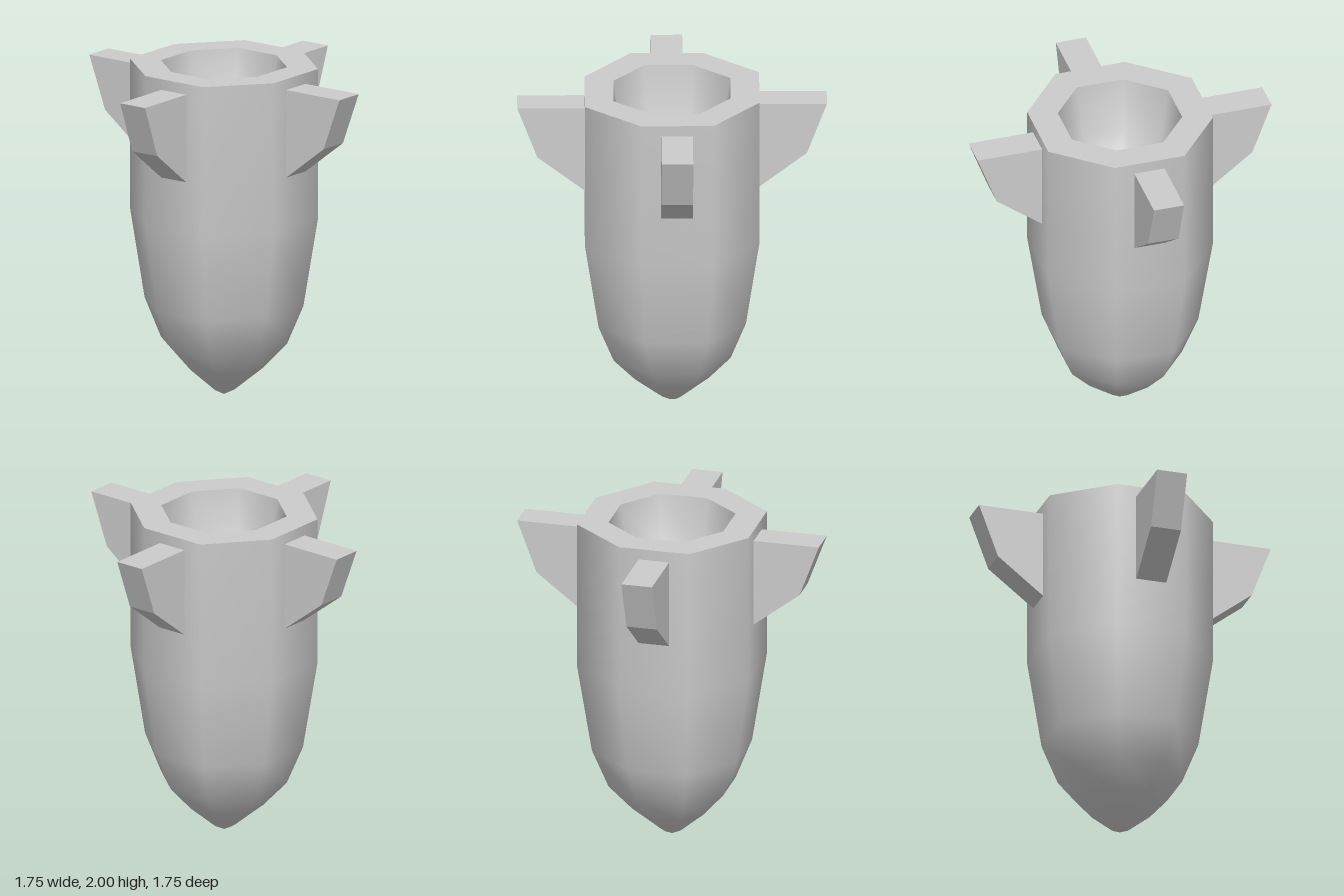
import * as THREE from 'three';

const material = new THREE.MeshStandardMaterial({ color: 0xcccccc });

// Eight-sided lathe whose diagonal corners sit slightly further out
function octagonLathe(name, profile) {
  const points = profile.map(([r, y]) => new THREE.Vector2(r, y));
  const geometry = new THREE.LatheGeometry(points, 8);
  const pos = geometry.attributes.position;
  for (let i = 0; i < pos.count; i++) {
    const x = pos.getX(i), z = pos.getZ(i);
    if (Math.abs(x) > 0.001 && Math.abs(z) > 0.001) pos.setXYZ(i, x * 1.038, pos.getY(i), z * 1.038);
  }
  const mesh = new THREE.Mesh(geometry, material);
  mesh.name = name;
  return mesh;
}

export function createModel() {
  const model = new THREE.Group();
  model.name = 'finnedShell';

  // Smooth body, tapering to a point at the bottom
  model.add(octagonLathe('body', [
    [0, 0], [0.06, 0.03], [0.23, 0.175], [0.365, 0.325], [0.46, 0.56], [0.545, 1.1], [0.545, 2],
  ]));

  // Flat rim and the hollow inside it
  model.add(octagonLathe('rim', [[0.545, 2], [0.365, 2]]));
  model.add(octagonLathe('cavity', [[0.365, 2], [0.31, 1.68], [0.17, 1.47], [0, 1.41]]));

  // Four thick fins, each square to a side of the body
  const thickness = 0.185;
  const outline = new THREE.Shape([
    [0.5, 1.405], [0.514, 1.405], [0.791, 1.62], [0.908, 1.935], [0.5, 1.935],
  ].map(([r, y]) => new THREE.Vector2(r, y)));
  const finGeometry = new THREE.ExtrudeGeometry(outline, { depth: thickness, bevelEnabled: false });
  finGeometry.translate(0, 0, -thickness / 2 - 0.025);
  for (let i = 0; i < 4; i++) {
    const fin = new THREE.Mesh(finGeometry, material);
    fin.name = `fin${i + 1}`;
    fin.rotation.y = 0.348 + i * Math.PI / 2;
    model.add(fin);
  }

  return model;
}
